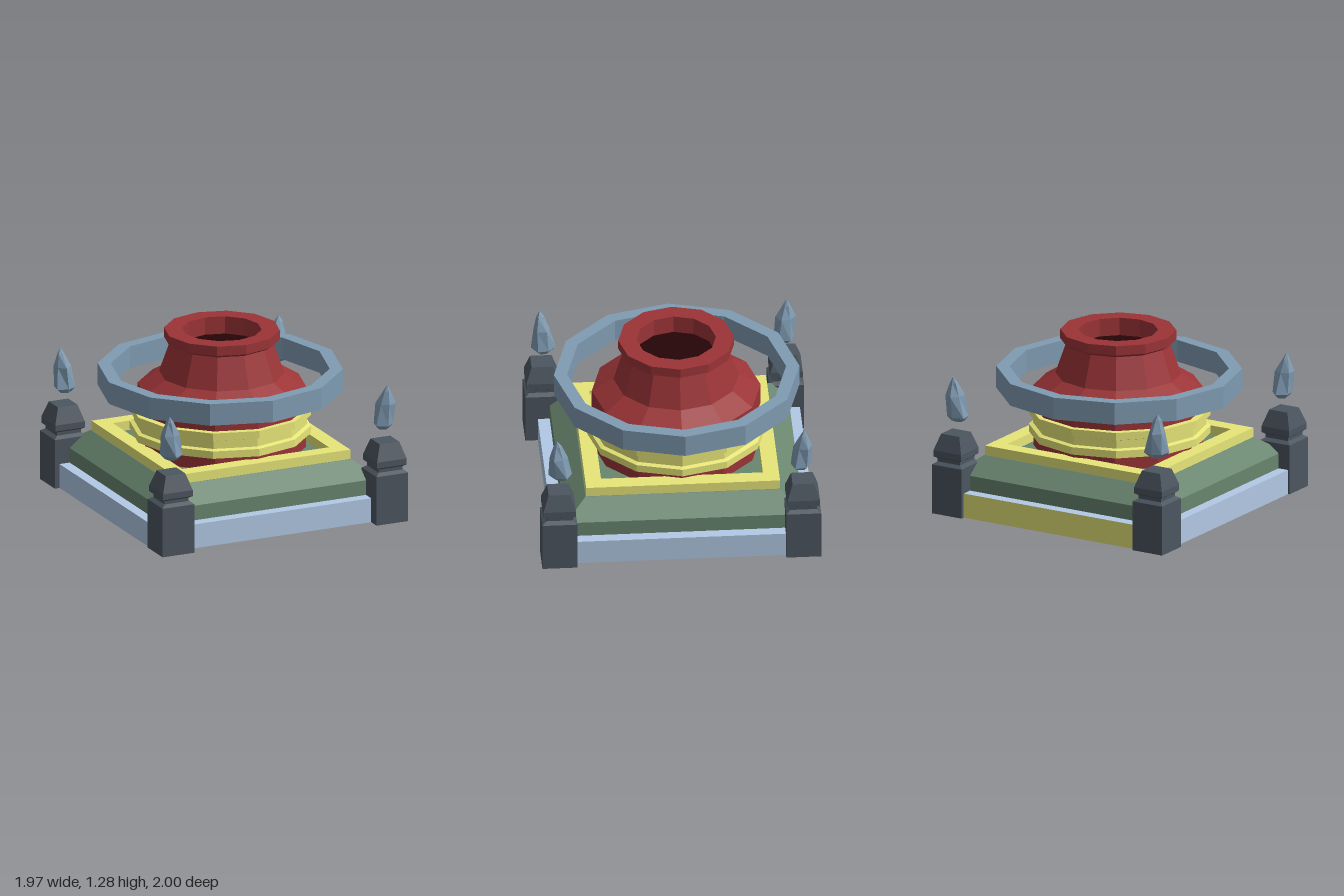
import * as THREE from 'three';

const material = (name, color) =>
  new THREE.MeshStandardMaterial({ name, color, flatShading: true, side: THREE.DoubleSide });

export function createModel() {
  const model = new THREE.Group();
  model.name = 'shrine';

  const paleBlue = material('pale blue', 0xb2c9e5);
  const ringBlue = material('steel blue', 0x7f9bb2);
  const slate = material('slate', 0x4c5660);
  const red = material('red', 0x9b3437);
  const darkRed = material('dark red', 0x260507);
  const yellow = material('yellow', 0xe9e87a);
  const green = material('green', 0x69866f);

  const CX = -0.012, CZ = -0.03; // the whole stand sits slightly off centre

  const add = (name, geometry, mat, x = CX, y = 0, z = CZ) => {
    const mesh = new THREE.Mesh(geometry, mat);
    mesh.name = name;
    mesh.position.set(x, y, z);
    model.add(mesh);
    return mesh;
  };

  // Faceted solid of revolution; profile is [radius, y] from the bottom up
  const faceted = (profile, sides) => {
    const g = new THREE.LatheGeometry(profile.map(([r, y]) => new THREE.Vector2(r, y)), sides).toNonIndexed();
    g.computeVertexNormals();
    return g;
  };
  // Square version; profile is [half width, y]
  const square = (profile) =>
    faceted(profile.map(([w, y]) => [w * Math.SQRT2, y]), 4).rotateY(Math.PI / 4);

  // Base: an open-bottomed box whose back wall is yellow
  const base = new THREE.BoxGeometry(1.87, 0.18, 1.88);
  base.groups = base.groups.filter((g) => g.materialIndex !== 3);
  add('base', base, [paleBlue, paleBlue, paleBlue, paleBlue, paleBlue, yellow], CX, 0.09);

  // Sloped plinth, reaching a little through the base, and the raised frame on it
  add('plinth', square([[0.855, 0.135], [0.855, 0.29], [0.7, 0.41], [0, 0.41]]), green);
  add('plinthFrame', square([[0.695, 0.41], [0.695, 0.48], [0.58, 0.48], [0.58, 0.41]]), yellow);

  // Vessel with shoulder, neck and rim; its foot shows below the base top
  add('vessel', faceted([
    [0.605, 0.108], [0.605, 0.86], [0.45, 0.955], [0.37, 1.185],
    [0.415, 1.21], [0.415, 1.28], [0.285, 1.28], [0.285, 1.15],
  ], 12), red, -0.004);
  add('vesselInside', faceted([[0.285, 1.15], [0, 1.15]], 12), darkRed, -0.004);

  // Grooved belt around the vessel
  add('belt', faceted([
    [0.6, 0.515], [0.65, 0.515], [0.65, 0.57], [0.62, 0.58],
    [0.62, 0.64], [0.65, 0.65], [0.65, 0.705], [0.6, 0.705],
  ], 12), yellow, -0.016);

  // Floating ring
  add('floatingRing', faceted([
    [0.785, 0.838], [0.88, 0.838], [0.88, 1.0], [0.785, 1.0], [0.785, 0.838],
  ], 12), ringBlue, -0.015, 0, -0.034);

  // Corner posts, open below, each with a crystal hovering above
  const postShape = square([
    [0.125, 0], [0.125, 0.365], [0.095, 0.385], [0.095, 0.41],
    [0.117, 0.425], [0.117, 0.47], [0.077, 0.59], [0, 0.59],
  ]);

  const crystalShape = (sx, sz, seed) => {
    const g = faceted([
      [0, 0.67], [0.045, 0.68], [0.08, 0.715], [0.065, 0.87], [0.027, 0.965], [0, 1.01],
    ], 6);
    const p = g.attributes.position;
    for (let i = 0; i < p.count; i++) {
      const x = p.getX(i), y = p.getY(i), z = p.getZ(i);
      const k = 1 + 0.14 * Math.sin(2 * Math.atan2(x, z) + 23 * y + seed);
      const lean = 0.08 * (y - 0.7); // the tips lean slightly outwards
      p.setXYZ(i, x * k + sx * lean, y, z * k + sz * lean);
    }
    g.computeVertexNormals();
    return g;
  };

  [[-0.86, -0.875], [0.835, -0.875], [-0.835, 0.875], [0.857, 0.875]].forEach(([x, z], i) => {
    add('cornerPost', postShape, slate, x, 0, z);
    add('crystal', crystalShape(Math.sign(x), Math.sign(z), i * 1.7), ringBlue, x * 0.99, 0, z * 0.985);
  });

  return model;
}
